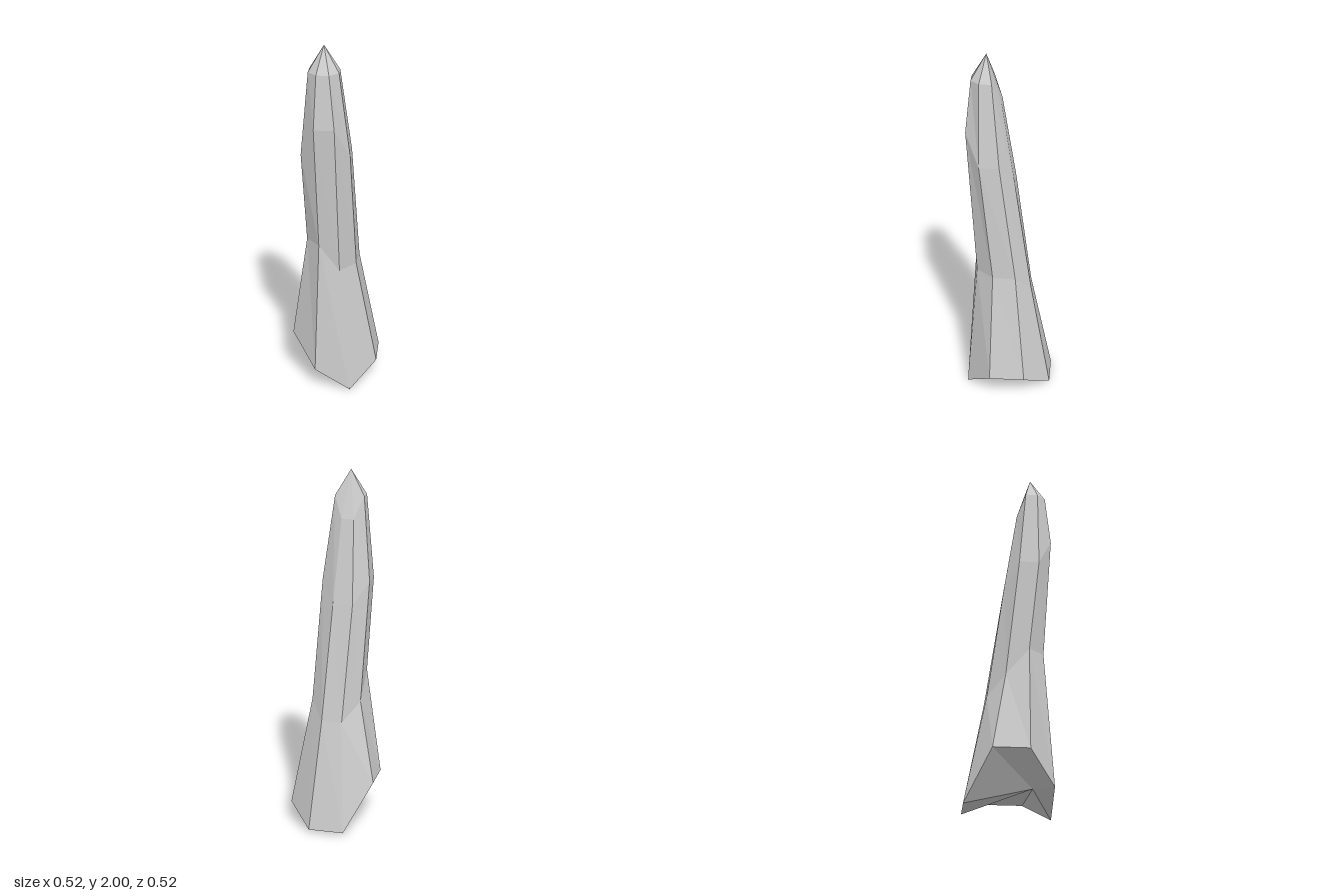
import * as THREE from 'three';

const SIDES = 8;

// Rings from base to shoulder: x radius, z radius, z centre, and the jagged
// heights of the corners, starting at +x and turning towards +z
const RINGS = [
  { rx: 0.258, rz: 0.258, z: 0, y: [0.12, 0, 0.12, 0.28, 0.28, 0.02, 0.02, 0.12] },
  { rx: 0.143, rz: 0.17, z: 0.035, y: [0.73, 0.73, 0.88, 0.88, 0.73, 0.63, 0.63, 0.73] },
  { rx: 0.143, rz: 0.143, z: 0.114, y: [1.4, 1.57, 1.57, 1.4, 1.4, 1.28, 1.28, 1.4] },
  { rx: 0.088, rz: 0.088, z: 0.137, y: [1.86, 1.86, 1.86, 1.86, 1.86, 1.74, 1.74, 1.86] },
];
const TIP = [0, 2, 0.137];
const HOLLOW = [0, 0.12, 0.137];

function ringPoints({ rx, rz, z, y }) {
  return y.map((h, k) => {
    const a = (k / SIDES) * Math.PI * 2;
    return [rx * Math.cos(a), h, z + rz * Math.sin(a)];
  });
}

function spireGeometry() {
  const rings = RINGS.map(ringPoints);
  const top = rings[rings.length - 1];
  const pos = [];
  const tri = (a, b, c) => pos.push(...a, ...b, ...c);

  for (let k = 0; k < SIDES; k++) {
    const n = (k + 1) % SIDES;
    // Long facets between rings
    for (let i = 0; i < rings.length - 1; i++) {
      const lo = rings[i], up = rings[i + 1];
      tri(lo[k], up[k], up[n]);
      tri(lo[k], up[n], lo[n]);
    }
    // Pointed tip and broken underside
    tri(top[k], TIP, top[n]);
    tri(rings[0][k], rings[0][n], HOLLOW);
  }

  const geo = new THREE.BufferGeometry();
  geo.setAttribute('position', new THREE.Float32BufferAttribute(pos, 3));
  geo.computeVertexNormals();
  return geo;
}

export function createModel() {
  const group = new THREE.Group();
  group.name = 'rockSpire';
  const material = new THREE.MeshStandardMaterial({ color: 0xcccccc, flatShading: true });
  const spire = new THREE.Mesh(spireGeometry(), material);
  spire.name = 'spire';
  group.add(spire);
  return group;
}
